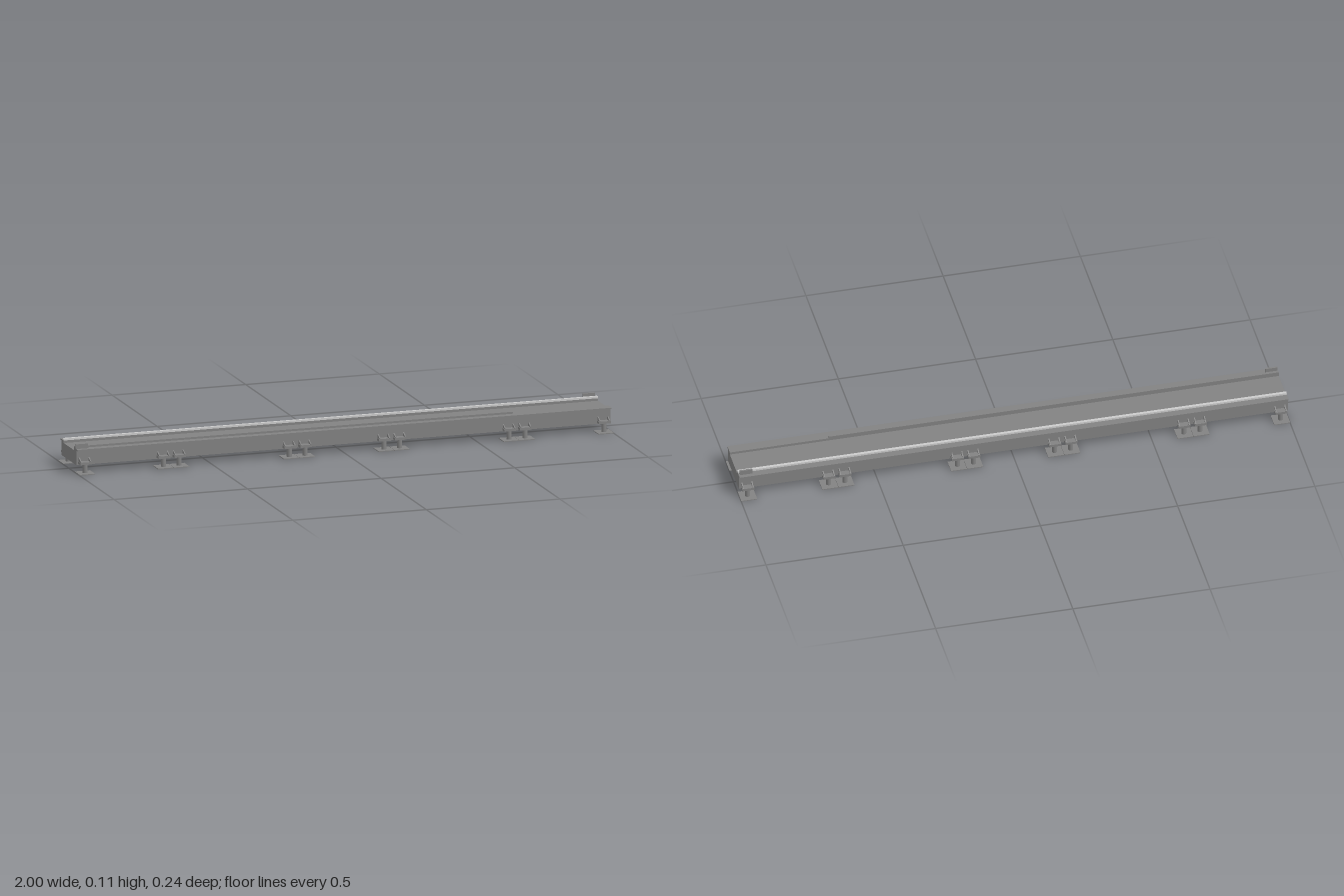
import * as THREE from 'three';

const steel = new THREE.MeshStandardMaterial({ color: 0x828282, side: THREE.DoubleSide });
const brightSteel = new THREE.MeshStandardMaterial({ color: 0xcccccc, side: THREE.DoubleSide });

function add(parent, name, geometry, x = 0, y = 0, z = 0, material = steel) {
  const mesh = new THREE.Mesh(geometry, material);
  mesh.name = name;
  mesh.position.set(x, y, z);
  parent.add(mesh);
}

// Box given by its minimum and maximum on each axis
function slab(parent, name, x0, x1, y0, y1, z0, z1, material) {
  add(parent, name, new THREE.BoxGeometry(x1 - x0, y1 - y0, z1 - z0),
    (x0 + x1) / 2, (y0 + y1) / 2, (z0 + z1) / 2, material);
}

// Profile of (z, y) points extruded along x, centred on x = 0
function extrudeX(points, length) {
  const shape = new THREE.Shape(points.map(([z, y]) => new THREE.Vector2(-z, y)));
  const geometry = new THREE.ExtrudeGeometry(shape, { depth: length, bevelEnabled: false });
  geometry.translate(0, 0, -length / 2);
  geometry.rotateY(Math.PI / 2);
  return geometry;
}

// One support foot on the +z side: floor plate, post, ledge and gussets
function makeFoot(x) {
  const foot = new THREE.Group();
  foot.name = 'foot';
  foot.position.x = x;
  slab(foot, 'floorPlate', -0.029, 0.029, 0, 0.003, 0.064, 0.12);
  add(foot, 'post', new THREE.CylinderGeometry(0.009, 0.009, 0.033, 16), 0, 0.0195, 0.093);
  slab(foot, 'ledge', -0.022, 0.022, 0.034, 0.043, 0.082, 0.106);
  const gusset = extrudeX([[0.082, 0.043], [0.106, 0.043], [0.106, 0.045], [0.082, 0.057]], 0.004);
  for (const s of [-1, 1]) add(foot, 'gusset', gusset, s * 0.018);
  return foot;
}

export function createModel() {
  const model = new THREE.Group();
  model.name = 'trackBed';

  // Closed deck with raised shoulders and overhanging top flanges
  const half = [[0.083, 0.03], [0.083, 0.083], [0.095, 0.083], [0.095, 0.088],
    [0.057, 0.088], [0.057, 0.079]];
  const profile = [...half, ...half.map(([z, y]) => [-z, y]).reverse()];
  add(model, 'deck', extrudeX(profile, 2));

  // Guide rails: the front one stops short of the left end, the back one is bright
  slab(model, 'frontRail', -1, 0.64, 0.088, 0.095, 0.057, 0.068);
  slab(model, 'backRail', -1, 1, 0.088, 0.095, -0.068, -0.057, brightSteel);

  // End stops on opposite corners
  slab(model, 'frontStop', -1, -0.955, 0.088, 0.105, 0.073, 0.08);
  slab(model, 'backStop', 0.95, 0.995, 0.088, 0.105, -0.08, -0.073);

  // Feet: singles at the ends, pairs along the length
  const positions = [-0.971, 0.971];
  for (const c of [-0.648, -0.177, 0.177, 0.646]) positions.push(c - 0.0295, c + 0.0295);
  for (const x of positions) {
    const front = makeFoot(x);
    // Turned half round, the feet at -x land at +x on the back side
    const back = makeFoot(x);
    back.rotation.y = Math.PI;
    model.add(front, back);
  }
  return model;
}
